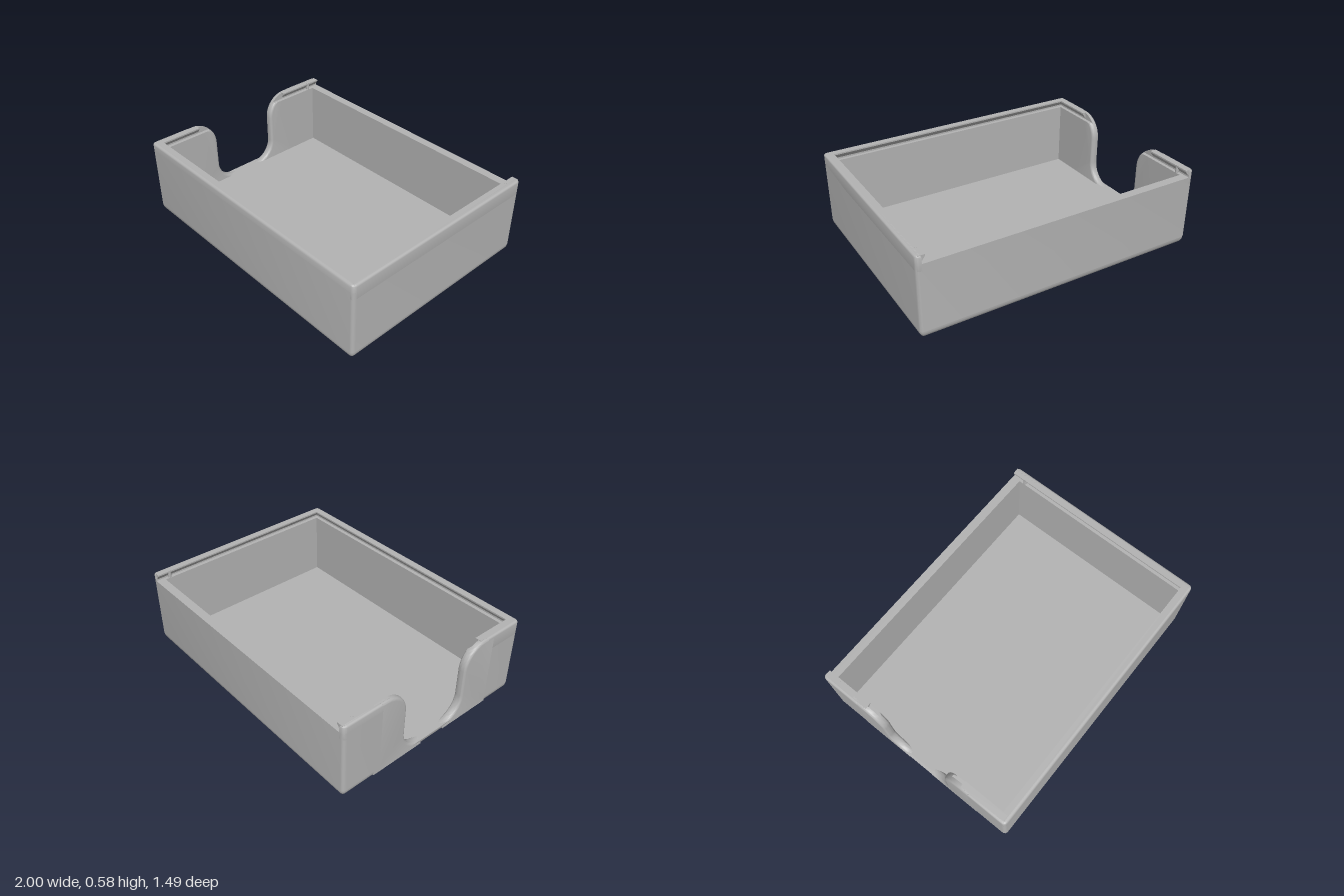
import * as THREE from 'three';
import { toCreasedNormals } from 'three/addons/utils/BufferGeometryUtils.js';

const X = 1, Z = 0.745, TOP = 0.575, FLOOR = 0.06, LEDGE = 0.522;
const IX = 0.94, IZ = 0.685, GROOVE = 0.965, R = 0.03;

// Polygon whose corners [x, y, radius] may be rounded
function roundedShape(corners) {
  const s = new THREE.Shape();
  corners.forEach(([x, y, r = 0], i) => {
    const p = new THREE.Vector2(x, y);
    const toward = (c) => p.clone().add(new THREE.Vector2(c[0], c[1]).sub(p).setLength(r));
    const a = r ? toward(corners.at(i - 1)) : p;
    if (i) s.lineTo(a.x, a.y); else s.moveTo(a.x, a.y);
    if (r) {
      const b = toward(corners[(i + 1) % corners.length]);
      s.quadraticCurveTo(x, y, b.x, b.y);
    }
  });
  s.closePath();
  return s;
}

// Extrude a plan outline (x, z) between two heights, optionally with rounded edges
function planExtrude(corners, y0, y1, bevel = 0) {
  const g = new THREE.ExtrudeGeometry(roundedShape(corners), {
    depth: y1 - y0 - 2 * bevel, curveSegments: 6, bevelEnabled: bevel > 0,
    bevelThickness: bevel, bevelSize: bevel, bevelOffset: -bevel, bevelSegments: 4,
  });
  return g.rotateX(Math.PI / 2).translate(0, y1 - bevel, 0);
}

// Solid skinned over matching rings; place(point, level) gives the 3D position
function loft(rings, place, flip) {
  const pos = [], idx = [], n = rings[0].pts.length;
  rings.forEach(({ pts, at }) => pts.forEach((p) => pos.push(...place(p, at))));
  const tri = (a, b, c) => (flip ? idx.push(a, c, b) : idx.push(a, b, c));
  for (let k = 0; k < rings.length - 1; k++) {
    for (let i = 0; i < n; i++) {
      const a = k * n + i, b = k * n + (i + 1) % n;
      tri(a, b, b + n);
      tri(a, b + n, a + n);
    }
  }
  const last = (rings.length - 1) * n;
  const cap = (pts) => THREE.ShapeUtils.triangulateShape(pts, []);
  // Ear clipping keeps the winding of the ring, which is counter-clockwise
  cap(rings[0].pts).forEach(([a, b, c]) => tri(a, c, b));
  cap(rings.at(-1).pts).forEach(([a, b, c]) => tri(last + a, last + b, last + c));
  const g = new THREE.BufferGeometry();
  g.setAttribute('position', new THREE.Float32BufferAttribute(pos, 3));
  g.setIndex(idx);
  return g;
}

// Counter-clockwise rounded rectangle
function rectRing(hx, hz, r) {
  const pts = [];
  [[1, 1], [-1, 1], [-1, -1], [1, -1]].forEach(([sx, sz], q) => {
    for (let i = 0; i <= 5; i++) {
      const a = (q + i / 5) * Math.PI / 2;
      pts.push(new THREE.Vector2(sx * (hx - r) + r * Math.cos(a), sz * (hz - r) + r * Math.sin(a)));
    }
  });
  return pts;
}

// Side profile (z, y) of the wall beside the finger cutout, inset by e along the curve
function cutoutRing(e, yTop) {
  const pts = [], arc = (cz, cy, r, a0, a1) => {
    for (let i = 0; i <= 14; i++) {
      const a = (a0 + (a1 - a0) * i / 14) * Math.PI / 180;
      pts.push(new THREE.Vector2(cz + r * Math.cos(a), Math.min(cy + r * Math.sin(a), yTop)));
    }
  };
  arc(0.1, 0.21, 0.15 + e, -90, 0);
  arc(0.42, 0.405, 0.17 - e, 180, 90);
  pts.push(new THREE.Vector2(0.5, Math.min(TOP - e, yTop)));
  pts.push(new THREE.Vector2(0.5, 0.03), new THREE.Vector2(0.1, 0.03));
  return pts.reverse();
}

export function createModel() {
  const group = new THREE.Group();
  const grey = new THREE.MeshStandardMaterial({ color: 0xb2b2b2 });
  const add = (name, geometry) => {
    const mesh = new THREE.Mesh(toCreasedNormals(geometry, 0.6), grey);
    mesh.name = name;
    group.add(mesh);
  };

  // Floor with rounded lower edges
  const floorRings = [];
  for (let i = 0; i <= 8; i++) {
    const a = i / 8 * Math.PI / 2, e = FLOOR * (1 - Math.sin(a));
    floorRings.push({ pts: rectRing(X - e, Z - e, Math.max(R - e, 0.001)), at: FLOOR * (1 - Math.cos(a)) });
  }
  add('floor', loft(floorRings, (p, y) => [p.x, y, p.y], true));

  // Walls up to the lid ledge, open where the finger cutout is
  add('walls', planExtrude([
    [-X, 0.45], [-X, Z, R], [X, Z, R], [X, -Z, R], [-X, -Z, R], [-X, -0.45],
    [-IX, -0.45], [-IX, -IZ], [IX, -IZ], [IX, IZ], [-IX, IZ], [-IX, 0.45],
  ], FLOOR, LEDGE));

  // Raised rim on three sides, open at the back for a sliding lid
  const gz = Z - (X - GROOVE);
  add('rim', planExtrude([
    [-X, 0.45], [-X, Z, R], [X, Z, R], [X, -Z, R], [GROOVE, -Z],
    [GROOVE, gz], [-GROOVE, gz], [-GROOVE, 0.45],
  ], 0.46, TOP, 0.015));
  add('rimBackRight', planExtrude([
    [-X, -0.45], [-GROOVE, -0.45], [-GROOVE, -Z], [-X, -Z, R],
  ], 0.46, TOP, 0.015));

  // Overhanging lips that form the undercut lid groove
  const lip = (s, shift, from, to) => new THREE.ExtrudeGeometry(roundedShape(
    [[0.967, 0.53], [0.985, 0.53], [0.985, TOP], [IX, TOP], [IX, 0.565]]
      .map(([a, y]) => [s * (a - shift), y])),
  { depth: to - from, bevelEnabled: false }).translate(0, 0, from);
  add('lipLeft', lip(1, 0, -0.738, 0.72));
  add('lipRightBack', lip(-1, 0, -0.738, -0.39));
  add('lipRightFront', lip(-1, 0, 0.39, 0.72));
  add('lipFront', lip(1, X - Z, -0.97, 0.97).rotateY(-Math.PI / 2));

  // Curved wall ends on both sides of the finger cutout, edges rounded
  const f = 0.02, outer = [], inner = [];
  for (let i = 0; i <= 5; i++) {
    const a = i / 5 * Math.PI / 2;
    const e = f * (1 - Math.sin(a)), d = f * (1 - Math.cos(a));
    outer.push({ pts: cutoutRing(e, TOP), at: -X + d });
    inner.unshift({ pts: cutoutRing(e, LEDGE), at: -IX - d });
  }
  outer.push({ pts: cutoutRing(0, TOP), at: -GROOVE });
  inner.unshift({ pts: cutoutRing(0, LEDGE), at: -GROOVE - 0.005 });
  for (const [side, s] of [['Front', 1], ['Back', -1]]) {
    const place = (p, x) => [x, p.y, s * p.x];
    add('cutoutOuter' + side, loft(outer, place, s > 0));
    add('cutoutInner' + side, loft(inner, place, s > 0));
  }

  // Small catches that hold the lid near the back
  for (const s of [-1, 1]) {
    add(s > 0 ? 'catchLeft' : 'catchRight',
      new THREE.CylinderGeometry(0.012, 0.012, 0.06, 12).translate(s * 0.952, 0.546, -0.645));
  }
  return group;
}
